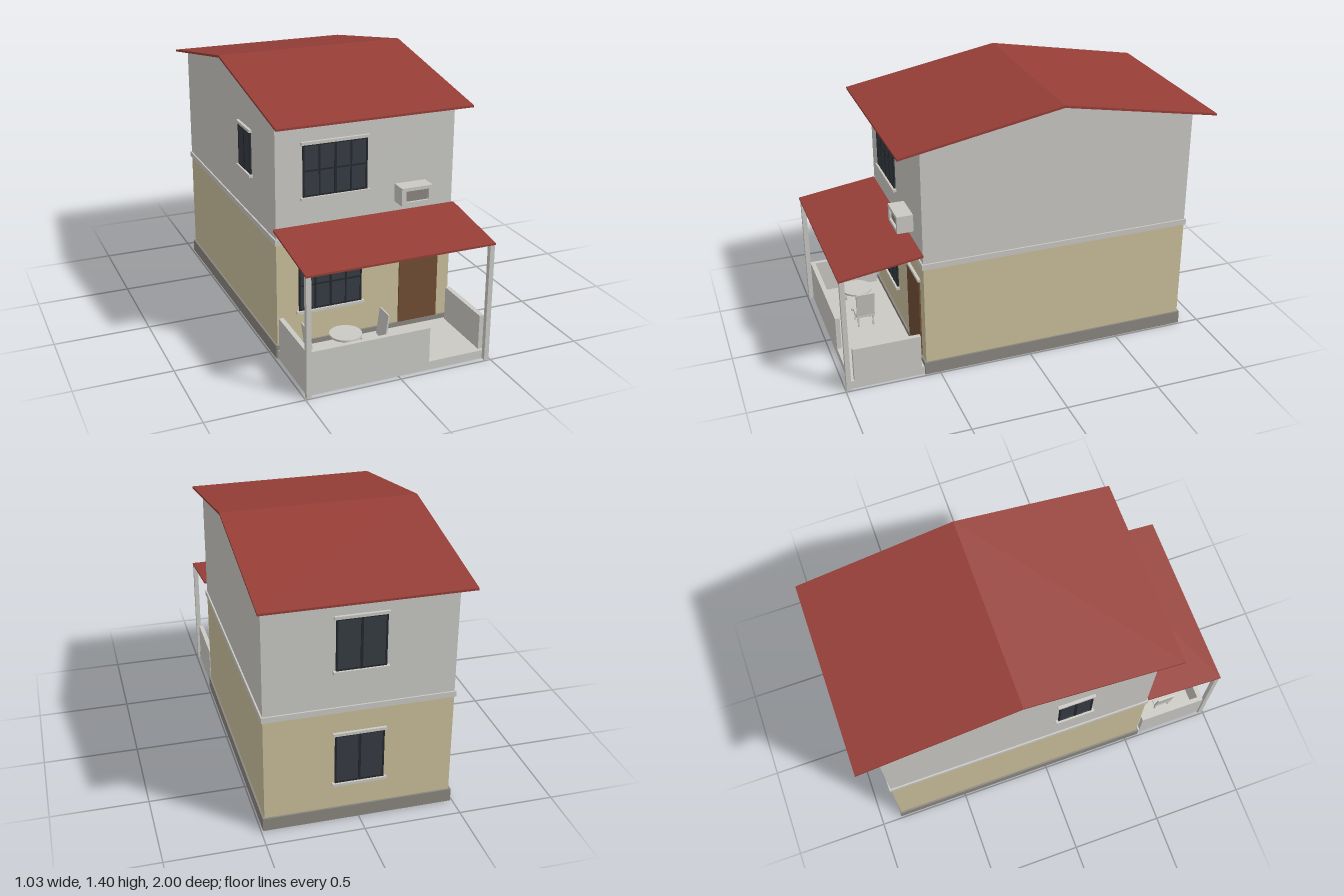
import * as THREE from 'three';

const material = (name, color) => {
  const m = new THREE.MeshStandardMaterial({ color });
  m.name = name;
  return m;
};

export function createModel() {
  const house = new THREE.Group();
  house.name = 'house';
  const wall = material('light grey render', 0xcac9c4);
  const tan = material('tan render', 0xcbbf9c);
  const red = material('red roof', 0x963e37);
  const stone = material('plinth grey', 0x8b8780);
  const brown = material('door brown', 0x724e35);
  const glass = material('dark glass', 0x363c43);
  const frame = material('window frame', 0x24282c);

  const add = (parent, name, geometry, mat) => {
    const mesh = new THREE.Mesh(geometry, mat);
    mesh.name = name;
    parent.add(mesh);
    return mesh;
  };
  // Box given by its extents on each axis
  const box = (parent, name, mat, [x0, x1], [y0, y1], [z0, z1]) => {
    const mesh = add(parent, name, new THREE.BoxGeometry(x1 - x0, y1 - y0, z1 - z0), mat);
    mesh.position.set((x0 + x1) / 2, (y0 + y1) / 2, (z0 + z1) / 2);
    return mesh;
  };
  // Side profile of [z, y] points, stretched between two x values
  const sideProfile = (name, mat, points, x0, x1) => {
    const shape = new THREE.Shape(points.map(([z, y]) => new THREE.Vector2(-z, y)));
    const geometry = new THREE.ExtrudeGeometry(shape, { depth: x1 - x0, bevelEnabled: false });
    const mesh = add(house, name, geometry.rotateY(Math.PI / 2), mat);
    mesh.position.x = x0;
    return mesh;
  };

  // House body
  const back = -0.88, front = 0.57, ridge = -0.155;
  box(house, 'plinth', stone, [-0.49, 0.49], [0, 0.07], [back - 0.01, front + 0.01]);
  box(house, 'lowerStorey', tan, [-0.48, 0.48], [0.002, 0.63], [back, front]);
  sideProfile('upperStorey', wall,
    [[front, 0.63], [back, 0.63], [back, 1.253], [ridge, 1.388], [front, 1.253]], -0.48, 0.48);
  box(house, 'storeyBand', wall, [-0.488, 0.488], [0.615, 0.645], [back - 0.008, front + 0.008]);

  // Gable roof and porch roof
  sideProfile('mainRoof', red,
    [[0.69, 1.234], [0.69, 1.245], [ridge, 1.4], [-1, 1.245], [-1, 1.234], [ridge, 1.388]], -0.517, 0.517);
  sideProfile('porchRoof', red,
    [[1, 0.629], [1, 0.639], [front, 0.701], [front, 0.69]], -0.495, 0.493);

  // Window facing +z, origin at the middle of its glass on the wall
  const addWindow = (name, w, h, columns, rows, x, y, z, turn = 0) => {
    const g = new THREE.Group();
    g.name = name;
    g.position.set(x, y, z);
    g.rotation.y = turn;
    house.add(g);
    const a = w / 2, b = h / 2;
    box(g, 'glass', glass, [-a, a], [-b, b], [0, 0.005]);
    for (let i = 0; i <= columns; i++) {
      const t = i * 2 === columns ? 0.006 : 0.004;
      const c = -a + 0.004 + (w - 0.008) * i / columns;
      box(g, 'mullion', frame, [c - t, c + t], [-b, b], [0, 0.01]);
    }
    for (let i = 0; i <= rows; i++) {
      const c = -b + 0.004 + (h - 0.008) * i / rows;
      box(g, 'transom', frame, [-a, a], [c - 0.004, c + 0.004], [0, 0.009]);
    }
    box(g, 'lintel', wall, [-a - 0.01, a + 0.01], [b, b + 0.015], [0, 0.015]);
    box(g, 'sill', wall, [-a - 0.014, a + 0.014], [-b - 0.014, -b], [0, 0.02]);
  };
  addWindow('upperFrontWindow', 0.34, 0.266, 4, 2, -0.17, 0.979, front);
  addWindow('lowerFrontWindow', 0.34, 0.27, 4, 2, -0.194, 0.376, front);
  addWindow('upperBackWindow', 0.25, 0.27, 2, 1, 0, 0.979, back, Math.PI);
  addWindow('lowerBackWindow', 0.25, 0.27, 2, 1, 0, 0.352, back, Math.PI);
  addWindow('sideWindow', 0.18, 0.222, 2, 1, -0.48, 0.981, 0.14, -Math.PI / 2);

  // Door
  box(house, 'door', brown, [0.19, 0.41], [0.07, 0.512], [front, front + 0.008]);
  box(house, 'doorLintel', wall, [0.18, 0.42], [0.512, 0.527], [front, front + 0.015]);

  // Wall cooling unit with a recessed grille
  const cooler = new THREE.Group();
  cooler.name = 'coolingUnit';
  house.add(cooler);
  box(cooler, 'casing', wall, [0.155, 0.325], [0.753, 0.846], [front, 0.64]);
  box(cooler, 'grille', stone, [0.18, 0.304], [0.77, 0.828], [0.64, 0.643]);
  const rectangle = (C, x0, x1, y0, y1) => new C([[x0, y0], [x1, y0], [x1, y1], [x0, y1]]
    .map(p => new THREE.Vector2(...p)));
  const rim = rectangle(THREE.Shape, 0.155, 0.325, 0.753, 0.846);
  rim.holes.push(rectangle(THREE.Path, 0.18, 0.304, 0.77, 0.828));
  add(cooler, 'rim', new THREE.ExtrudeGeometry(rim, { depth: 0.015, bevelEnabled: false }), wall)
    .position.z = 0.64;

  // Porch floor, low walls and posts
  box(house, 'porchFloor', wall, [-0.48, 0.48], [0, 0.045], [0.58, 0.97]);
  box(house, 'porchFrontWall', wall, [-0.48, 0.168], [0.045, 0.23], [0.945, 0.97]);
  for (const s of [-1, 1]) {
    const span = (a, b) => [Math.min(s * a, s * b), Math.max(s * a, s * b)];
    box(house, 'porchSideWall', wall, span(0.455, 0.48), [0.045, 0.23], [0.595, 0.95]);
    box(house, 'porchPost', wall, span(0.467, 0.492), [0, 0.636], [0.97, 0.995]);
  }

  // Round table
  const table = new THREE.Group();
  table.name = 'table';
  table.position.set(-0.195, 0, 0.77);
  house.add(table);
  add(table, 'tableTop', new THREE.CylinderGeometry(0.082, 0.082, 0.01, 32), wall).position.y = 0.175;
  add(table, 'tableStem', new THREE.CylinderGeometry(0.01, 0.01, 0.125, 16), wall).position.y = 0.1075;
  add(table, 'tableFoot', new THREE.CylinderGeometry(0.04, 0.04, 0.008, 24), wall).position.y = 0.049;

  // Two chairs facing the table
  for (const turn of [0, Math.PI]) {
    const chair = new THREE.Group();
    chair.name = 'chair';
    chair.position.set(-0.195, 0, 0.77);
    chair.rotation.y = turn;
    house.add(chair);
    box(chair, 'seat', wall, [0.1, 0.2], [0.105, 0.115], [-0.05, 0.05]);
    for (const x of [0.105, 0.187]) for (const z of [-0.045, 0.037])
      box(chair, 'chairLeg', wall, [x, x + 0.008], [0.045, 0.105], [z, z + 0.008]);
    const rest = box(chair, 'backrest', wall, [0.199, 0.207], [0.108, 0.256], [-0.05, 0.05]);
    rest.rotation.z = -0.13;
  }
  return house;
}
